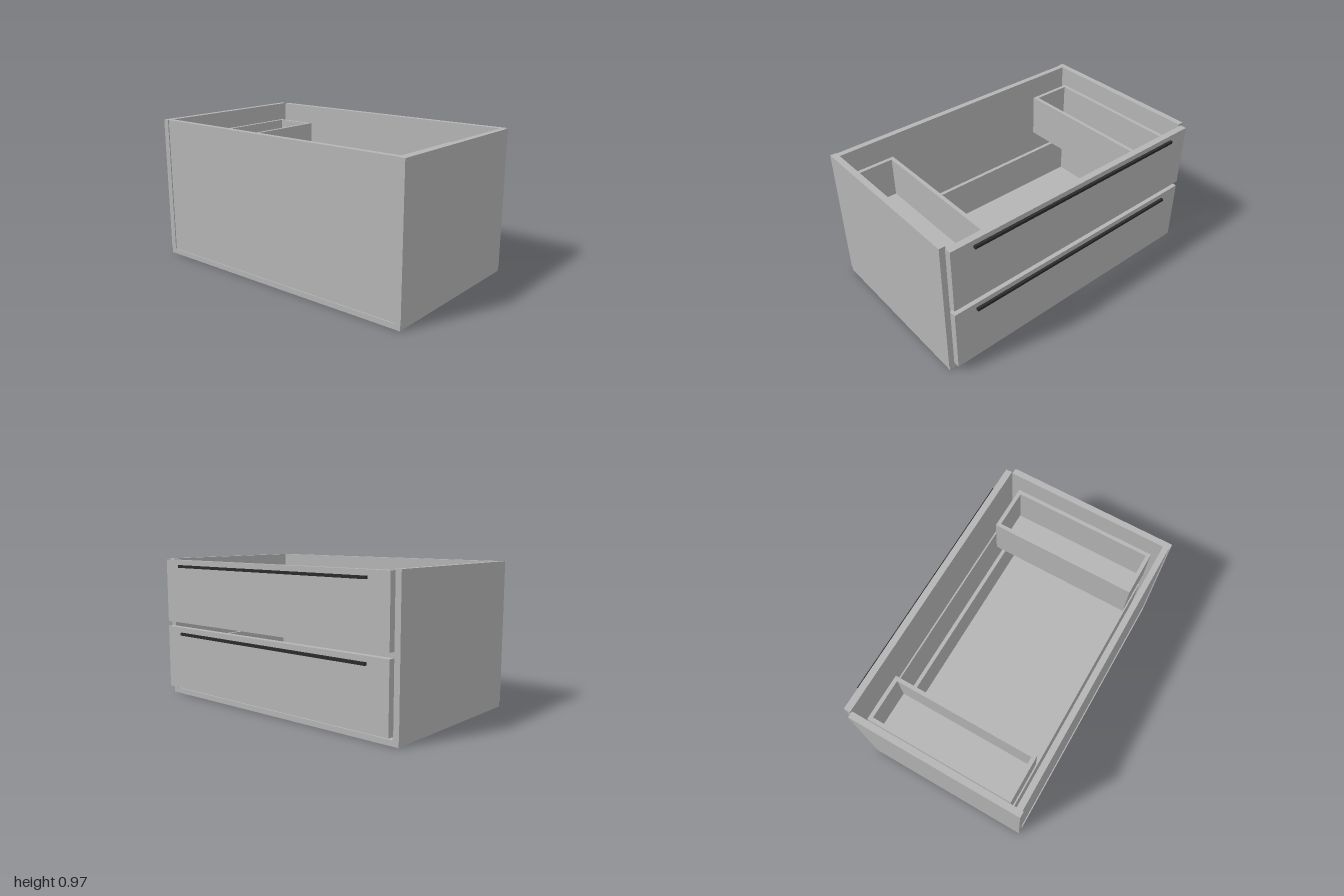
import * as THREE from 'three';

const grey = new THREE.MeshStandardMaterial({ name: 'panel grey', color: 0xb4b4b4 });
const dark = new THREE.MeshStandardMaterial({ name: 'handle black', color: 0x2b2b2b });

// Box given by its lower and upper limits on each axis
function panel(name, [x0, x1], [y0, y1], [z0, z1], material = grey) {
  const mesh = new THREE.Mesh(new THREE.BoxGeometry(x1 - x0, y1 - y0, z1 - z0), material);
  mesh.position.set((x0 + x1) / 2, (y0 + y1) / 2, (z0 + z1) / 2);
  mesh.name = name;
  return mesh;
}

// Open-topped tray with four walls and a floor
function tray(name, [y0, y1], [z0, z1]) {
  const x0 = -0.525, x1 = 0.485, t = 0.026;
  const group = new THREE.Group();
  group.name = name;
  group.add(
    panel('trayBackWall', [x0, x0 + t], [y0, y1], [z0 + t, z1 - t]),
    panel('trayFrontWall', [x1 - t, x1], [y0, y1], [z0 + t, z1 - t]),
    panel('traySideWall', [x0, x1], [y0, y1], [z0, z0 + t]),
    panel('traySideWall', [x0, x1], [y0, y1], [z1 - t, z1]),
    panel('trayFloor', [x0 + t, x1 - t], [y0, y0 + t], [z0 + t, z1 - t])
  );
  return group;
}

export function createModel() {
  const model = new THREE.Group();
  model.name = 'drawerCabinet';

  // Carcass: floor, two sides and a slightly recessed back, open on top
  model.add(
    panel('cabinetFloor', [-0.622, 0.55], [0, 0.035], [-0.996, 0.996]),
    panel('cabinetSide', [-0.622, 0.55], [0.035, 0.973], [0.958, 1]),
    panel('cabinetSide', [-0.622, 0.55], [0.035, 0.973], [-1, -0.958]),
    panel('cabinetBack', [-0.615, -0.576], [0.035, 0.973], [-0.958, 0.958])
  );

  // Two drawer fronts, each with a long bar handle
  for (const [name, y, handleY] of [['lower', 0.06, 0.443], ['upper', 0.531, 0.915]]) {
    model.add(
      panel(name + 'DrawerFront', [0.56, 0.604], [y, y + 0.436], [-0.968, 0.968]),
      panel(name + 'Handle', [0.604, 0.622], [handleY, handleY + 0.018], [-0.815, 0.815], dark)
    );
  }

  // One full-width lower tray, and two upper trays either side of an open gap
  model.add(
    tray('lowerTray', [0.085, 0.387], [-0.938, 0.938]),
    tray('upperTray', [0.55, 0.85], [0.618, 0.938]),
    tray('upperTray', [0.55, 0.85], [-0.938, -0.618])
  );
  return model;
}
